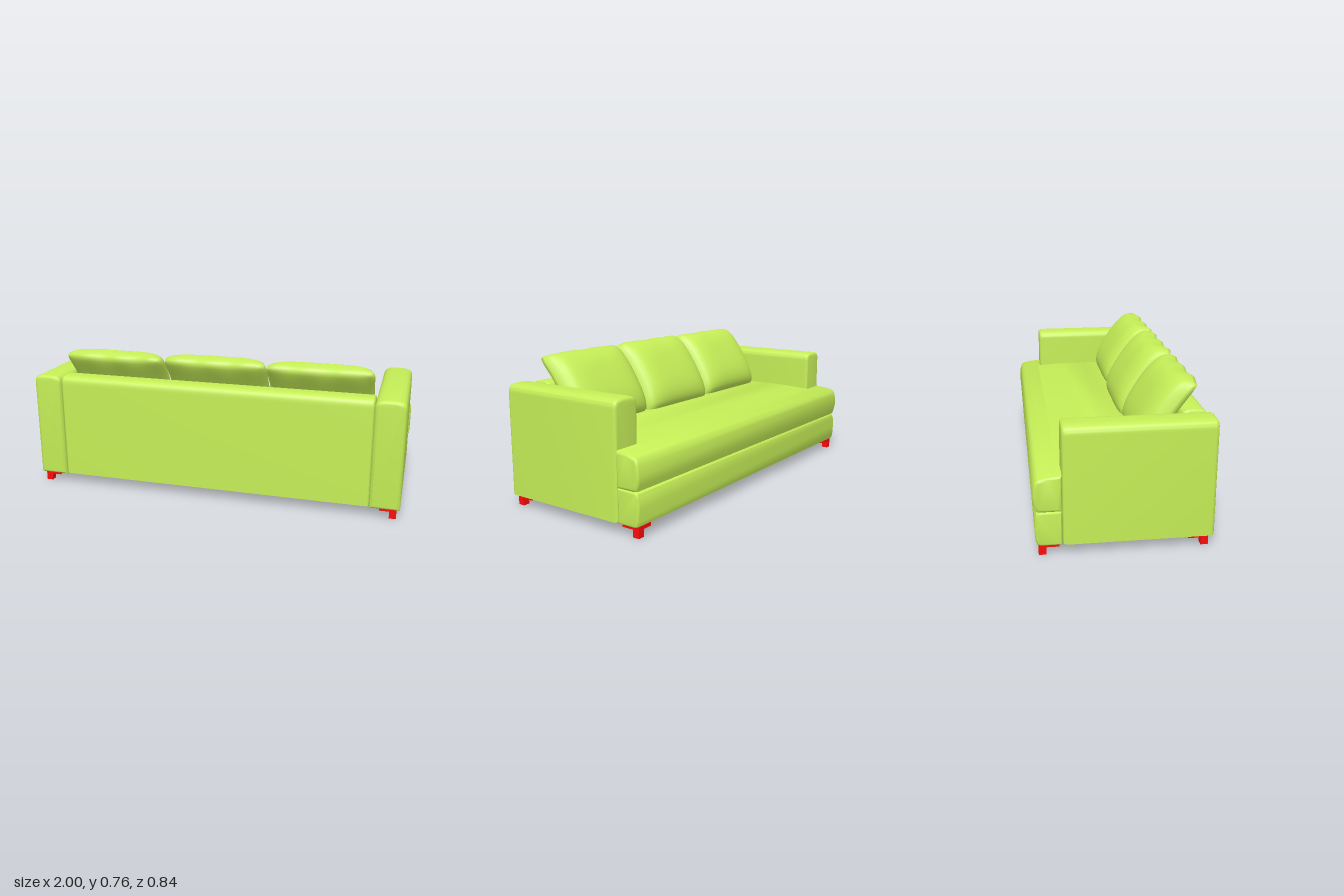
import * as THREE from 'three';
import { mergeVertices, toCreasedNormals } from 'three/addons/utils/BufferGeometryUtils.js';

const fabric = new THREE.MeshStandardMaterial({ color: 0xc5ee57 });
const footPaint = new THREE.MeshStandardMaterial({ color: 0xfb0b0b });

// Padded part: a cross-section swept along z, centred, with softened ends
function sweep(name, shape, length, bevel) {
  const geo = new THREE.ExtrudeGeometry(shape, {
    depth: length - 2 * bevel, bevelEnabled: true, bevelThickness: bevel,
    bevelSize: bevel, bevelOffset: -bevel, bevelSegments: 4,
  });
  geo.translate(0, 0, bevel - length / 2);
  const mesh = new THREE.Mesh(toCreasedNormals(geo, 0.75), fabric);
  mesh.name = name;
  return mesh;
}

// Same, but running along x from a (z, y) profile
function roll(name, points, halfWidth, bevel) {
  const shape = new THREE.Shape(points.map(([z, y]) => new THREE.Vector2(-z, y)));
  const mesh = sweep(name, shape, 2 * halfWidth, bevel);
  mesh.rotation.y = Math.PI / 2;
  return mesh;
}

// Cross-section with a flat bottom and a domed top
function domedSection(width, height, shoulder) {
  const w = width / 2, s = height - shoulder;
  const shape = new THREE.Shape();
  shape.moveTo(-w, 0);
  shape.lineTo(w, 0);
  shape.lineTo(w, s);
  shape.bezierCurveTo(w, height - 0.005, w * 0.7, height, 0, height);
  shape.bezierCurveTo(-w * 0.7, height, -w, height - 0.005, -w, s);
  return shape;
}

// Soft pillow: a box whose two faces swell, with rounded corners and a wavy top hem
function pillow(name, [x, y, z], halfW, halfH, phase) {
  let geo = new THREE.BoxGeometry(2, 2, 2, 26, 26, 1);
  const p = geo.attributes.position;
  for (let i = 0; i < p.count; i++) {
    const u = p.getX(i), v = p.getY(i), side = p.getZ(i);
    const swell = Math.pow(Math.max(0, (1 - u ** 4) * (1 - v ** 4)), 0.5);
    const thick = 0.01 + (side > 0 ? 0.028 : 0.08) * swell;
    const wave = 0.004 * Math.sin(9 * u + phase) * Math.max(0, v) ** 3;
    p.setXYZ(i,
      halfW * u * (1 - 0.025 * u * u * (1 - v * v) - 0.045 * v ** 10),
      halfH * v * (1 - 0.02 * v * v * (1 - u * u) - 0.05 * u ** 10) + wave,
      side * thick + 0.02 * v * v + wave);
  }
  geo.deleteAttribute('normal');
  geo.deleteAttribute('uv');
  geo = mergeVertices(geo, 1e-5);
  geo.computeVertexNormals();
  const mesh = new THREE.Mesh(geo, fabric);
  mesh.name = name;
  mesh.position.set(x, y, z);
  mesh.rotation.x = 0.58;
  return mesh;
}

// Corner foot: two bracket bars meeting over a short square leg
function foot(name, sx, sz) {
  const g = new THREE.Group();
  g.name = name;
  const bar = (part, [x0, x1], [y0, y1], [z0, z1]) => {
    const mesh = new THREE.Mesh(new THREE.BoxGeometry(x1 - x0, y1 - y0, z1 - z0), footPaint);
    mesh.name = part;
    mesh.position.set(sx * (x0 + x1) / 2, (y0 + y1) / 2, sz * (z0 + z1) / 2);
    g.add(mesh);
  };
  bar('bracketAcross', [0.89, 0.975], [0.037, 0.057], [0.358, 0.395]);
  bar('bracketAlong', [0.94, 0.975], [0.037, 0.057], [0.30, 0.395]);
  bar('leg', [0.94, 0.975], [0, 0.04], [0.36, 0.395]);
  return g;
}

export function createModel() {
  const sofa = new THREE.Group();
  sofa.name = 'sofa';

  // Backrest stands on the +z side
  const backrest = sweep('backrest', domedSection(0.127, 0.563, 0.05), 1.676, 0.012);
  backrest.rotation.y = Math.PI / 2;
  backrest.position.set(0, 0.057, 0.343);
  sofa.add(backrest);

  // Thin, slightly crowned seat deck, open underneath
  sofa.add(roll('seatDeck', [
    [-0.34, 0.377], [0.3, 0.377], [0.3, 0.396], [0.15, 0.403],
    [0, 0.406], [-0.15, 0.403], [-0.28, 0.395], [-0.34, 0.388],
  ].reverse(), 0.845, 0.003));

  // Full-width front edge: seat cushion roll over a base rail
  sofa.add(roll('seatCushionFront', [
    [-0.286, 0.22], [-0.385, 0.22], [-0.402, 0.224], [-0.411, 0.25], [-0.42, 0.295],
    [-0.414, 0.345], [-0.405, 0.37], [-0.39, 0.38], [-0.35, 0.388], [-0.286, 0.394],
  ], 0.999, 0.016));
  sofa.add(roll('baseRail', [
    [-0.286, 0.052], [-0.385, 0.052], [-0.402, 0.06], [-0.409, 0.085], [-0.412, 0.14],
    [-0.409, 0.19], [-0.402, 0.212], [-0.385, 0.22], [-0.286, 0.22],
  ], 0.993, 0.012));

  // Arms and feet, mirrored
  for (const [side, s] of [['left', 1], ['right', -1]]) {
    const arm = sweep(side + 'Arm', domedSection(0.154, 0.568, 0.045), 0.705, 0.018);
    arm.position.set(s * 0.915, 0.053, 0.0675);
    sofa.add(arm);
    sofa.add(foot(side + 'FootAtBackrest', s, 1));
    sofa.add(foot(side + 'FootAtSeatEdge', s, -1));
  }

  // Three loose pillows leaning on the backrest
  sofa.add(pillow('rightPillow', [-0.547, 0.573, 0.222], 0.275, 0.216, 0.4));
  sofa.add(pillow('middlePillow', [0.008, 0.571, 0.217], 0.275, 0.222, 2.1));
  sofa.add(pillow('leftPillow', [0.556, 0.573, 0.222], 0.273, 0.216, 3.7));
  return sofa;
}
